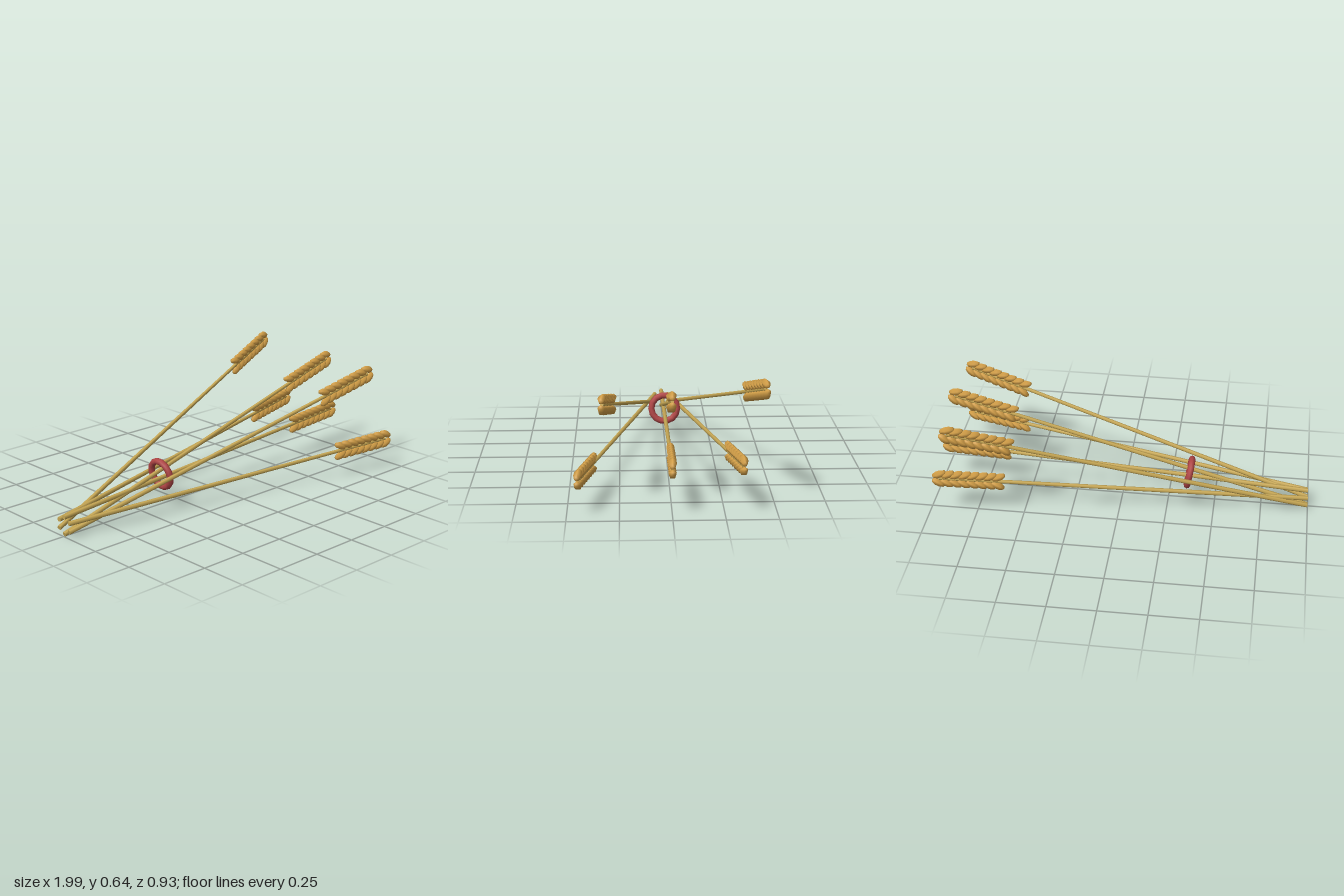
import * as THREE from 'three';

const straw = new THREE.MeshStandardMaterial({ color: 0xc9a955 });
straw.name = 'straw';
const grain = new THREE.MeshStandardMaterial({ color: 0xd6a148 });
grain.name = 'golden grain';
const band = new THREE.MeshStandardMaterial({ color: 0xb04545 });
band.name = 'red band';

const EAR_LENGTH = 0.385;
const PAIRS = 8;

// Plump five-sided grain, long axis along y
const kernelGeometry = new THREE.SphereGeometry(1, 5, 5);
kernelGeometry.rotateY(Math.PI);
kernelGeometry.scale(0.021, 0.04, 0.021);

// One stalk from its cut end to the tip of its ear
function createStalk(base, tip) {
  const stalk = new THREE.Group();
  stalk.name = 'stalk';
  const along = tip.clone().sub(base);
  const length = along.length();
  along.normalize();

  // Local y runs along the stalk, local x points upwards
  const side = along.clone().cross(new THREE.Vector3(0, 1, 0)).normalize();
  const up = side.clone().cross(along).normalize();
  stalk.quaternion.setFromRotationMatrix(
    new THREE.Matrix4().makeBasis(up, along, up.clone().cross(along)));
  stalk.position.copy(base);

  const stemLength = length - 0.04;
  const stem = new THREE.Mesh(new THREE.CylinderGeometry(0.009, 0.0125, stemLength, 6), straw);
  stem.name = 'stem';
  stem.position.y = stemLength / 2;
  stalk.add(stem);

  // Two rows of grains leaning in towards the tip
  const ear = new THREE.Group();
  ear.name = 'ear';
  const first = length - EAR_LENGTH + 0.038;
  const pitch = (EAR_LENGTH - 0.076) / (PAIRS - 1);
  for (let i = 0; i < PAIRS; i++) {
    for (const s of [-1, 1]) {
      const kernel = new THREE.Mesh(kernelGeometry, grain);
      kernel.name = 'grain';
      kernel.position.set(s * 0.026, first + i * pitch, 0);
      kernel.rotation.z = s * 0.45;
      ear.add(kernel);
    }
  }
  stalk.add(ear);
  return stalk;
}

export function createModel() {
  const model = new THREE.Group();
  model.name = 'wheatSheaf';

  // Ear tips, in order around the hexagon of cut ends
  const tips = [
    [0.99, 0.245, 0],
    [0.95, 0.18, 0.452],
    [0.915, 0.545, 0.333],
    [0.935, 0.562, 0],
    [0.875, 0.605, -0.45],
    [0.965, 0.25, -0.34],
  ];
  tips.forEach((tip, i) => {
    const a = (i * Math.PI) / 3;
    const base = new THREE.Vector3(-0.995, 0.06 + 0.045 * Math.cos(a), 0.045 * Math.sin(a));
    model.add(createStalk(base, new THREE.Vector3(...tip)));
  });

  // Tie around the stalks
  const tie = new THREE.Mesh(new THREE.TorusGeometry(0.0725, 0.0175, 8, 14), band);
  tie.name = 'tie';
  tie.rotation.set(0, Math.PI / 2, 0.16, 'ZYX');
  tie.position.set(-0.36, 0.17, 0);
  model.add(tie);

  return model;
}
